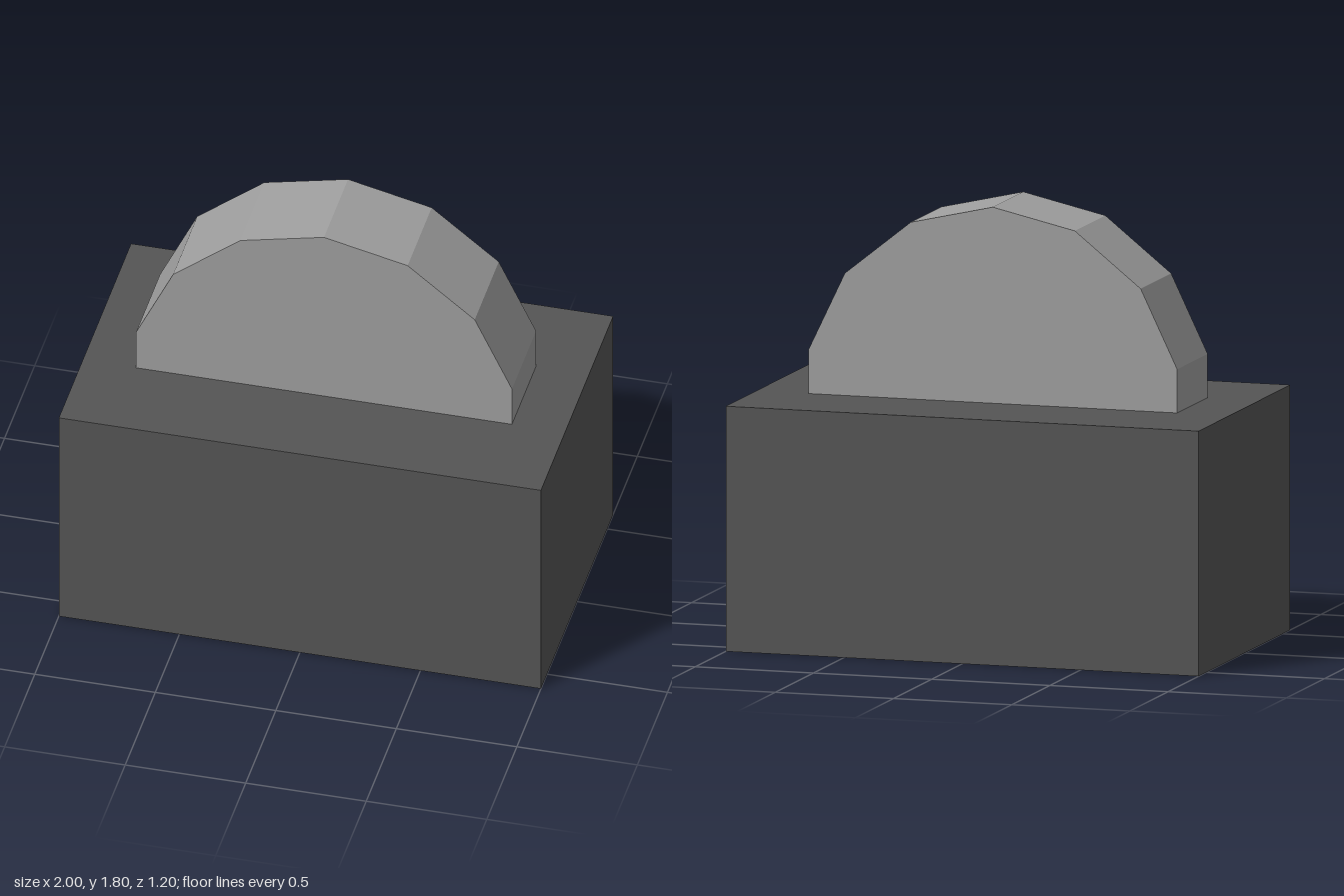
import * as THREE from 'three';

export function createModel() {
  const model = new THREE.Group();
  const darkGrey = new THREE.MeshStandardMaterial({ color: 0x555555 });
  const lightGrey = new THREE.MeshStandardMaterial({ color: 0x9f9f9f });
  darkGrey.name = 'darkGrey';
  lightGrey.name = 'lightGrey';

  // Solid block standing on the ground
  const base = new THREE.Mesh(new THREE.BoxGeometry(2, 1, 1.2), darkGrey);
  base.name = 'base';
  base.position.y = 0.5;

  // Fourteen-sided disc, its lower half sunk into the block
  const sides = 14;
  const discGeometry = new THREE.CylinderGeometry(0.8, 0.8, 0.4, sides).toNonIndexed();
  discGeometry.rotateX(Math.PI / 2);
  discGeometry.computeVertexNormals(); // flat facets
  const disc = new THREE.Mesh(discGeometry, lightGrey);
  disc.name = 'disc';
  disc.position.y = 1;

  model.add(base, disc);
  return model;
}
